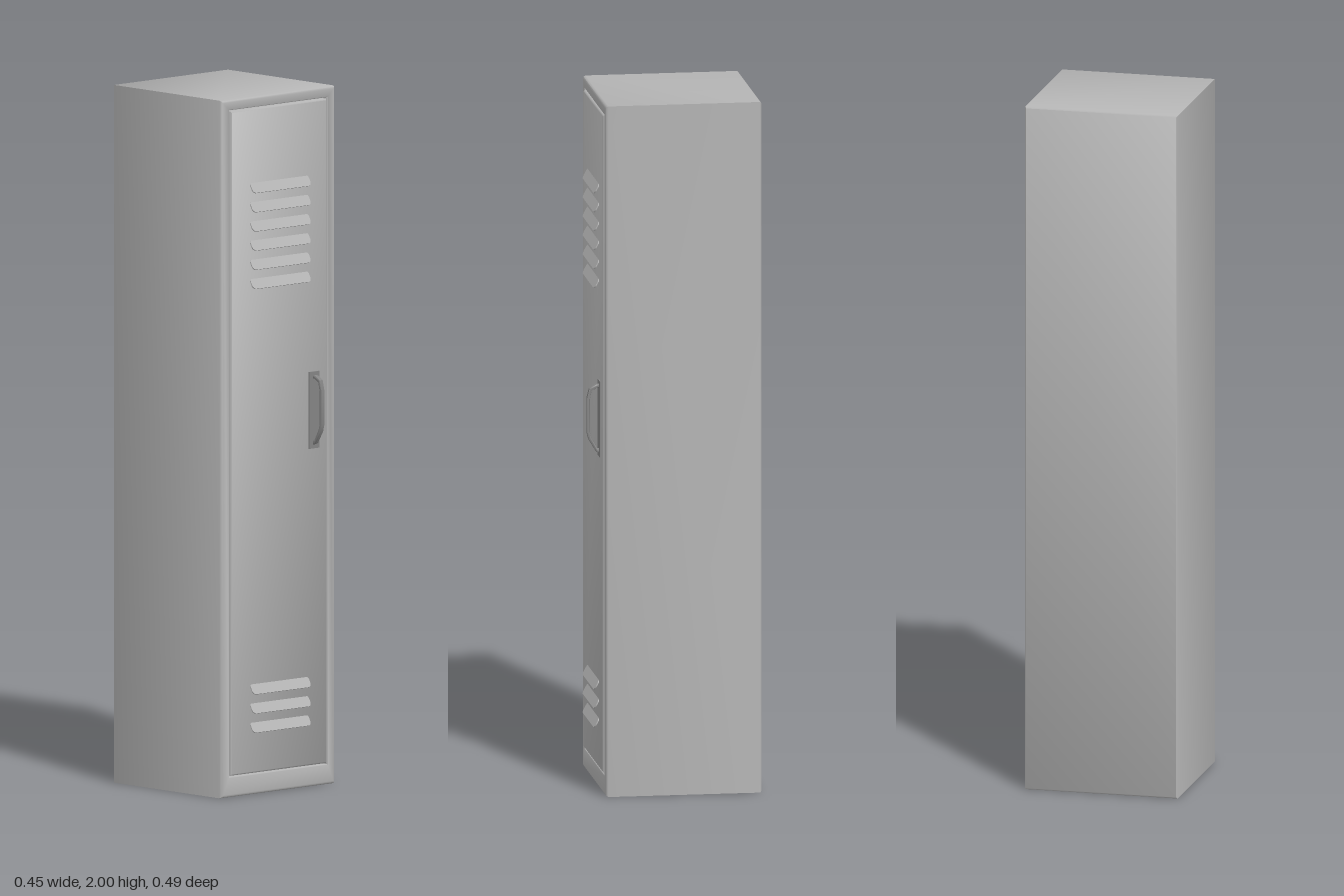
import * as THREE from 'three';
import { toCreasedNormals } from 'three/addons/utils/BufferGeometryUtils.js';

// Rounded rectangle centred on the origin
function roundedRect(w, h, r) {
  const s = new THREE.Shape();
  const x = w / 2, y = h / 2;
  s.moveTo(-x + r, -y);
  s.lineTo(x - r, -y);
  s.absarc(x - r, -y + r, r, -Math.PI / 2, 0);
  s.absarc(x - r, y - r, r, 0, Math.PI / 2);
  s.absarc(-x + r, y - r, r, Math.PI / 2, Math.PI);
  s.absarc(-x + r, -y + r, r, Math.PI, Math.PI * 1.5);
  return s;
}

// Skin rectangular sections [halfWidth, bottom, top, z], with both ends capped
function loftRects(sections) {
  const pos = [], index = [];
  for (const [w, b, t, z] of sections) pos.push(-w, b, z, w, b, z, w, t, z, -w, t, z);
  for (let s = 0; s < sections.length - 1; s++) {
    for (let i = 0; i < 4; i++) {
      const a = s * 4 + i, c = s * 4 + (i + 1) % 4;
      index.push(a, c, c + 4, a, c + 4, a + 4);
    }
  }
  const e = (sections.length - 1) * 4;
  index.push(0, 2, 1, 0, 3, 2, e, e + 1, e + 2, e, e + 2, e + 3);
  const g = new THREE.BufferGeometry();
  g.setAttribute('position', new THREE.Float32BufferAttribute(pos, 3));
  g.setIndex(index);
  return toCreasedNormals(g, 0.9);
}

export function createModel() {
  const group = new THREE.Group();
  const paint = new THREE.MeshStandardMaterial({ color: 0xb4b4b4 });
  paint.name = 'grey paint';
  const metal = new THREE.MeshStandardMaterial({ color: 0x858585 });
  metal.name = 'dark metal';

  function add(name, geometry, material, parent = group) {
    const mesh = new THREE.Mesh(geometry, material);
    mesh.name = name;
    parent.add(mesh);
    return mesh;
  }

  // Cabinet shell with softened rims and a shallow door recess
  add('cabinet', loftRects([
    [0.219, 0.004, 1.996, -0.247],
    [0.223, 0, 2, -0.243],
    [0.223, 0, 2, 0.192],
    [0.220, 0.003, 1.997, 0.198],
    [0.215, 0.008, 1.992, 0.2],
    [0.194, 0.056, 1.972, 0.2],
    [0.192, 0.058, 1.970, 0.198],
    [0.192, 0.058, 1.970, 0.18],
  ]), paint);

  // Door panel with a narrow gap around it
  add('door', loftRects([
    [0.188, 0.062, 1.966, 0.175],
    [0.188, 0.062, 1.966, 0.199],
    [0.184, 0.066, 1.962, 0.203],
  ]), paint);

  // Sloping vent slats, upper and lower sets
  const slatGeometry = new THREE.ExtrudeGeometry(roundedRect(0.228, 0.034, 0.012), {
    depth: 0.003, bevelEnabled: false, curveSegments: 5,
  });
  const vents = new THREE.Group();
  vents.name = 'vents';
  group.add(vents);
  for (const [top, count] of [[1.74, 6], [0.303, 3]]) {
    for (let i = 0; i < count; i++) {
      const slat = add('ventSlat', slatGeometry, paint, vents);
      slat.position.set(0, top - i * 0.055, 0.207);
      slat.rotation.x = -0.5;
    }
  }

  // Handle: mounting plate and a bent grip
  const handle = new THREE.Group();
  handle.name = 'handle';
  handle.position.set(0.135, 1.08, 0.203);
  group.add(handle);
  add('handlePlate', new THREE.BoxGeometry(0.04, 0.22, 0.004), metal, handle).position.z = 0.002;

  const outer = [[0, -0.1], [0.012, -0.096], [0.034, -0.06], [0.039, -0.04],
    [0.039, 0.06], [0.032, 0.088], [0.012, 0.1], [0, 0.1]];
  const inner = [[0, 0.09], [0.009, 0.09], [0.025, 0.08], [0.03, 0.056],
    [0.03, -0.038], [0.026, -0.054], [0.008, -0.086], [0, -0.088]];
  const profile = new THREE.Shape([...outer, ...inner].map(([z, y]) => new THREE.Vector2(z, y)));
  const grip = new THREE.ExtrudeGeometry(profile, {
    depth: 0.006, bevelEnabled: true, bevelThickness: 0.004, bevelSize: 0.003,
    bevelOffset: -0.003, bevelSegments: 2,
  });
  grip.translate(0, 0, -0.003).rotateY(-Math.PI / 2);
  add('handleGrip', toCreasedNormals(grip, 0.7), metal, handle);

  return group;
}
